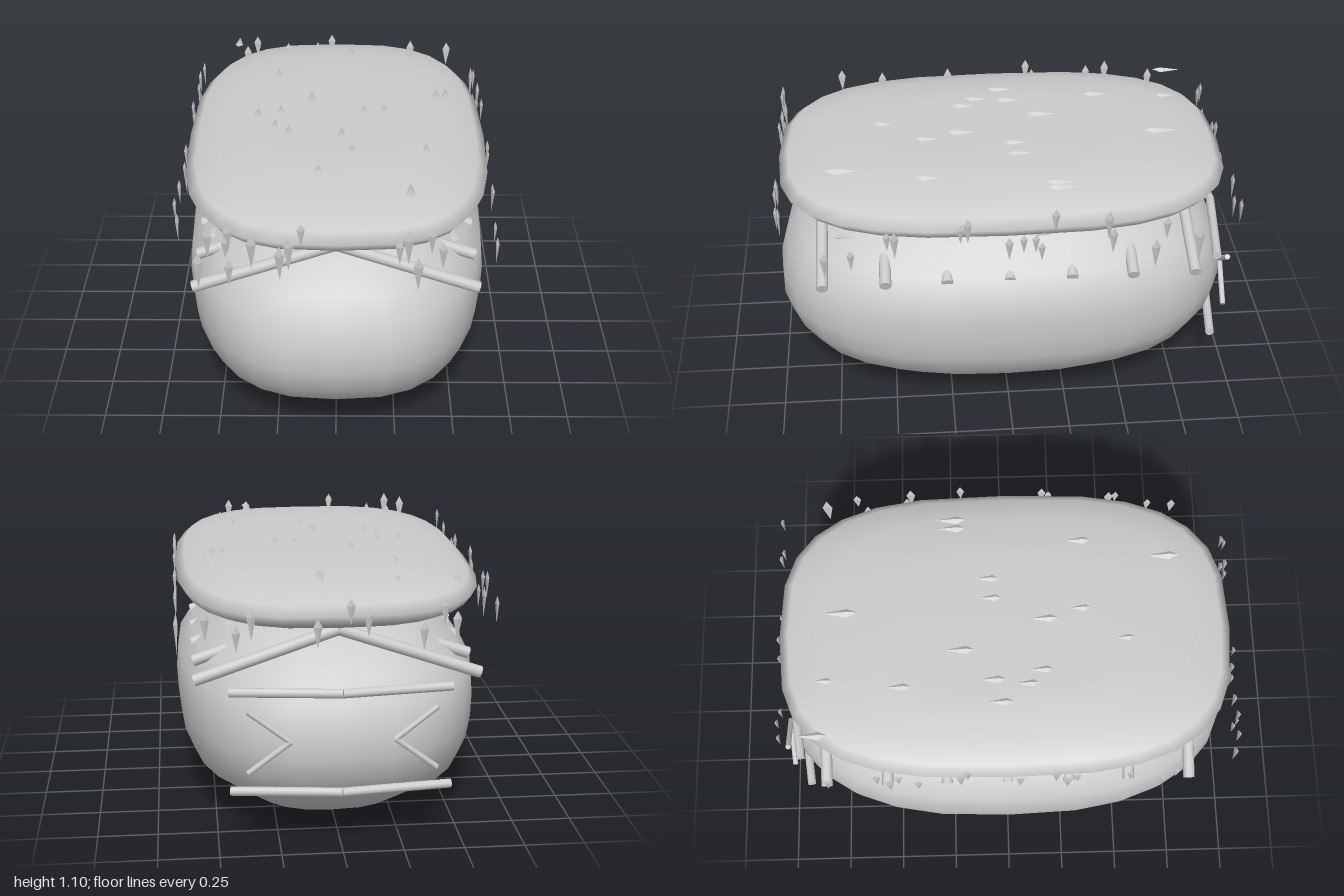
import * as THREE from 'three';

const grey = new THREE.MeshStandardMaterial({ color: 0xcccccc });
const faceted = new THREE.MeshStandardMaterial({ color: 0xcccccc, flatShading: true });

// Closed loft through superellipse rings given as [y, halfWidth, halfLength]
function loft(name, rings, power, sides = 28) {
  const pos = [], index = [];
  const bend = (v) => Math.sign(v) * Math.abs(v) ** (2 / power);
  for (const [y, hx, hz] of rings) {
    for (let j = 0; j < sides; j++) {
      const t = (j / sides) * Math.PI * 2;
      pos.push(hx * bend(Math.cos(t)), y, hz * bend(Math.sin(t)));
    }
  }
  for (let i = 0; i < rings.length - 1; i++) {
    for (let j = 0; j < sides; j++) {
      const a = i * sides + j, b = i * sides + ((j + 1) % sides);
      index.push(a, a + sides, b, b, a + sides, b + sides);
    }
  }
  const geo = new THREE.BufferGeometry();
  geo.setAttribute('position', new THREE.Float32BufferAttribute(pos, 3));
  geo.setIndex(index);
  geo.computeVertexNormals();
  const mesh = new THREE.Mesh(geo, grey);
  mesh.name = name;
  return mesh;
}

// Straight round bars joining a list of points
function bars(name, points, radius) {
  const group = new THREE.Group();
  group.name = name;
  const p = points.map((q) => new THREE.Vector3(...q));
  for (let i = 0; i < p.length - 1; i++) {
    const dir = p[i + 1].clone().sub(p[i]);
    const mesh = new THREE.Mesh(new THREE.CylinderGeometry(radius, radius, dir.length(), 10), grey);
    mesh.position.copy(p[i]).addScaledVector(dir, 0.5);
    mesh.quaternion.setFromUnitVectors(new THREE.Vector3(0, 1, 0), dir.normalize());
    group.add(mesh);
  }
  return group;
}

// Unit-length leaf: a ridged kite with a flat back, point down
const leafGeo = new THREE.LatheGeometry(
  [[0, -0.5], [1, 0.22], [0, 0.5]].map(([r, y]) => new THREE.Vector2(r, y)), 3);

function leaf(x, y, z, length, pitch, yaw) {
  const mesh = new THREE.Mesh(leafGeo, faceted);
  mesh.name = 'leaf';
  const w = 0.01 + length * 0.09;
  mesh.scale.set(w, length, w * 0.45);
  mesh.rotation.set(pitch, yaw, 0, 'YXZ');
  mesh.position.set(x, y, z);
  return mesh;
}

export function createModel() {
  const model = new THREE.Group();

  // Rounded body with a flat base
  model.add(loft('body', [
    [0, 0, 0], [0, 0.37, 0.56], [0.1, 0.49, 0.73], [0.2, 0.595, 0.9], [0.3, 0.635, 0.97],
    [0.4, 0.65, 1], [0.5, 0.655, 0.995], [0.61, 0.645, 0.965], [0.7, 0.58, 0.9],
    [0.8, 0.47, 0.77], [0.86, 0.39, 0.65], [0.89, 0.3, 0.45], [0.9, 0, 0],
  ], 2.6));

  // Cushion-like roof
  model.add(loft('roof', [
    [0.88, 0, 0], [0.88, 0.36, 0.55], [0.89, 0.47, 0.72], [0.91, 0.56, 0.86],
    [0.94, 0.62, 0.93], [0.985, 0.65, 0.97], [1.025, 0.61, 0.93], [1.055, 0.51, 0.78],
    [1.075, 0.38, 0.58], [1.08, 0.3, 0.45], [1.08, 0, 0],
  ], 3));

  // Rafters under the roof
  for (const z of [-0.79, -0.525, -0.265, 0, 0.265, 0.525, 0.79]) {
    model.add(bars('rafter', [[-0.585, 0.685, z], [0, 0.885, z], [0.585, 0.685, z]], 0.025));
  }

  // Bent rails and angled brackets on the back
  for (const y of [0.25, 0.67]) {
    model.add(bars('backRail', [[-0.45, y, -0.91], [0, y, -0.965], [0.45, y, -0.91]], 0.019));
  }
  for (const s of [-1, 1]) {
    model.add(bars('backBracket',
      [[s * 0.38, 0.61, -0.975], [s * 0.21, 0.48, -0.983], [s * 0.38, 0.35, -0.975]], 0.012));
  }

  // Leaves hanging around the roof edge: [along, top, bottom]
  const hanging = {
    front: [[-0.54, 0.95, 0.79], [-0.5, 1.06, 0.93], [-0.43, 1.02, 0.93], [-0.42, 1.08, 0.95],
      [-0.42, 0.92, 0.8], [-0.33, 1.03, 0.88], [-0.22, 0.98, 0.83], [-0.185, 1.02, 0.87],
      [-0.135, 1.08, 0.98], [0.25, 1.01, 0.9], [0.285, 1.05, 0.9], [0.375, 1.06, 0.95],
      [0.42, 1, 0.88], [0.325, 0.93, 0.78]],
    right: [[0.77, 0.91, 0.79], [0.66, 0.92, 0.82], [0.51, 1, 0.91], [0.48, 1, 0.87],
      [0.21, 1.02, 0.93], [0.18, 1.05, 0.93], [0.01, 0.95, 0.84], [-0.05, 0.96, 0.87],
      [-0.1, 0.96, 0.87], [-0.125, 0.92, 0.83], [-0.18, 1.08, 0.97], [-0.4, 1.06, 0.92],
      [-0.42, 0.98, 0.85], [-0.6, 0.91, 0.77], [-0.64, 1.02, 0.91], [-0.78, 0.97, 0.79]],
    left: [[-0.76, 1, 0.88], [-0.55, 1.05, 0.93], [-0.5, 0.97, 0.83], [-0.46, 1.03, 0.92],
      [-0.38, 0.95, 0.84], [-0.2, 1.02, 0.88], [-0.17, 1.07, 0.96], [0.05, 0.97, 0.85],
      [0.2, 1.04, 0.91], [0.25, 0.95, 0.82], [0.29, 1, 0.9], [0.51, 1.03, 0.91],
      [0.65, 0.95, 0.82], [0.7, 1.05, 0.94]],
    back: [[-0.45, 1, 0.88], [-0.4, 1.05, 0.94], [-0.32, 0.96, 0.84], [-0.1, 1.02, 0.9],
      [-0.03, 1.06, 0.95], [0.1, 0.98, 0.86], [0.36, 1.03, 0.9], [0.42, 0.96, 0.85],
      [0.54, 1.02, 0.9]],
  };
  const place = {
    front: (a) => [a, 0.968, 0], right: (a) => [0.65, a, Math.PI / 2],
    left: (a) => [-0.65, a, -Math.PI / 2], back: (a) => [a, -0.968, Math.PI],
  };
  for (const side in hanging) {
    const group = new THREE.Group();
    group.name = side + 'Leaves';
    for (const [a, top, bottom] of hanging[side]) {
      const [x, z, yaw] = place[side](a);
      group.add(leaf(x, (top + bottom) / 2, z, top - bottom, 0, yaw));
    }
    model.add(group);
  }

  // Leaves lying on top of the roof: [x, z of point, length]
  const topLeaves = new THREE.Group();
  topLeaves.name = 'topLeaves';
  for (const [x, z, len] of [[-0.24, -0.81, 0.08], [0.065, -0.78, 0.15], [-0.275, -0.51, 0.11],
    [-0.115, -0.26, 0.13], [0.45, -0.28, 0.12], [0.49, -0.29, 0.13], [-0.35, -0.08, 0.11],
    [-0.25, -0.11, 0.11], [0.12, -0.11, 0.1], [0.21, -0.12, 0.1], [-0.27, 0.04, 0.1],
    [-0.21, 0.1, 0.1], [0.02, 0.11, 0.12], [0.065, 0.28, 0.09], [0.38, 0.27, 0.11],
    [-0.075, 0.47, 0.08], [0.3, 0.62, 0.14], [-0.48, -0.88, 0.13]]) {
    topLeaves.add(leaf(x, 1.084, z + len / 2, len, -Math.PI / 2 + 0.05, Math.PI));
  }
  model.add(topLeaves);

  // Leaves lying under the roof rim: [x, z of point]
  const underLeaves = new THREE.Group();
  underLeaves.name = 'underLeaves';
  for (const [x, z] of [[-0.5, 0.62], [-0.46, -0.7], [0.44, -0.68], [0.48, 0.64], [0.52, -0.2]]) {
    underLeaves.add(leaf(x, 0.872, z + 0.05, 0.1, Math.PI / 2, 0));
  }
  model.add(underLeaves);

  return model;
}
